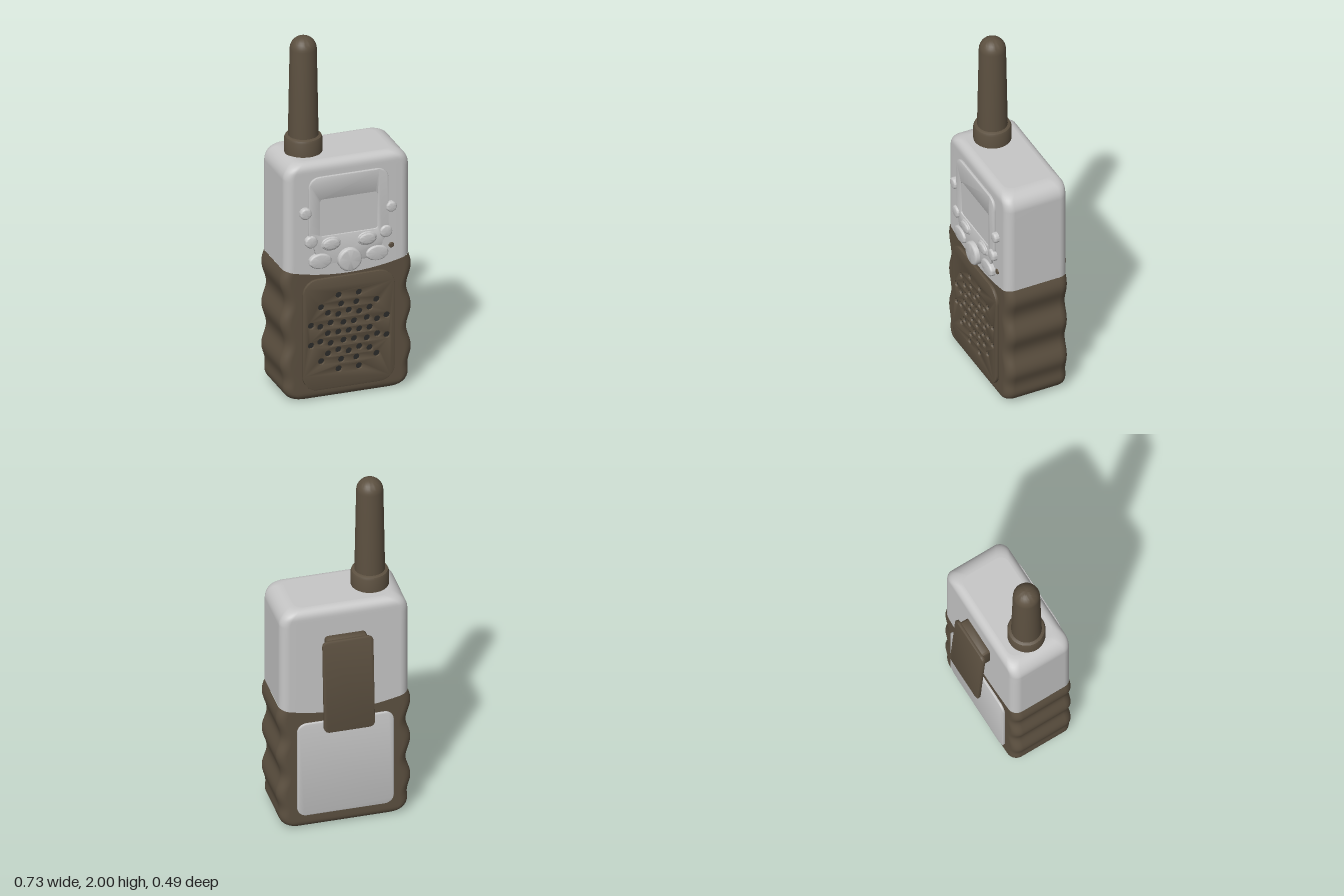
import * as THREE from 'three';
import { toCreasedNormals } from 'three/addons/utils/BufferGeometryUtils.js';

const FRONT = 0.205, BACK = -0.155, MID = 0.025, HALF_D = 0.18, SEAM = 0.75, TOP = 1.35;

export function createModel() {
  const grey = new THREE.MeshStandardMaterial({ color: 0xc6c6c6 });
  grey.name = 'lightGrey';
  const brown = new THREE.MeshStandardMaterial({ color: 0x5c5040 });
  brown.name = 'darkBrown';
  const dark = new THREE.MeshStandardMaterial({ color: 0x2b2b29 });
  dark.name = 'holeDark';

  const group = new THREE.Group();
  const add = (name, geo, mat, x = 0, y = 0, z = 0) => {
    const m = new THREE.Mesh(geo, mat);
    m.name = name;
    m.position.set(x, y, z);
    group.add(m);
    return m;
  };

  // Casing halves: rounded sections stacked upward, meeting at a dipped seam
  const inset = (h, r) => (h >= r ? 0 : r - Math.sqrt(r * r - (r - h) ** 2));
  const lower = [], upper = [];
  const R = 0.09, RZ = 0.045, N = 10;
  const arc = i => R * (1 - Math.cos((i / N) * Math.PI / 2));
  const wave = y => 0.35 + 0.013 * Math.cos((y - 0.685) / 0.235 * Math.PI * 2)
    * THREE.MathUtils.smoothstep(y, 0.02, 0.2);
  const lowerRow = y => ({ y, w: wave(y) - inset(y, R), d: HALF_D - inset(y, RZ), dip: y / SEAM });
  for (let i = 0; i < N; i++) lower.push(lowerRow(arc(i)));
  for (let i = 0; i <= 44; i++) lower.push(lowerRow(R + (SEAM - R) * i / 44));
  const upperRow = y => ({
    y, w: 0.347 - inset(TOP - y, R), d: HALF_D - inset(TOP - y, RZ), dip: (TOP - y) / (TOP - SEAM),
  });
  for (let i = 0; i <= 6; i++) upper.push(upperRow(SEAM + (TOP - R - SEAM) * i / 6));
  for (let i = N - 1; i >= 0; i--) upper.push(upperRow(TOP - arc(i)));
  add('lowerCasing', loft(lower, true), brown);
  add('upperCasing', loft(upper, false), grey);

  // Antenna with collar
  const profile = [[0.1, 1.34], [0.1, 1.425], [0.095, 1.437], [0.084, 1.442], [0.08, 1.443], [0.071, 1.93]];
  for (let i = 1; i <= 8; i++) {
    const a = (i / 8) * Math.PI / 2;
    profile.push([0.071 * Math.cos(a), 1.93 + 0.07 * Math.sin(a)]);
  }
  const antenna = new THREE.LatheGeometry(profile.map(p => new THREE.Vector2(Math.max(p[0], 0), p[1])), 40);
  add('antenna', toCreasedNormals(antenna, 0.6), brown, -0.182, 0, MID);

  // Display panel with a window opening and recessed screen
  const panel = new THREE.Shape();
  panel.moveTo(-0.1, 0.77);
  panel.lineTo(0.1, 0.77);
  panel.quadraticCurveTo(0.18, 0.79, 0.19, 0.86);
  panel.quadraticCurveTo(0.222, 0.9, 0.222, 0.96);
  panel.lineTo(0.222, 1.2);
  panel.quadraticCurveTo(0.222, 1.27, 0.152, 1.27);
  panel.lineTo(-0.152, 1.27);
  panel.quadraticCurveTo(-0.222, 1.27, -0.222, 1.2);
  panel.lineTo(-0.222, 0.96);
  panel.quadraticCurveTo(-0.222, 0.9, -0.19, 0.86);
  panel.quadraticCurveTo(-0.18, 0.79, -0.1, 0.77);
  panel.holes.push(roundedRect(new THREE.Path(), 0.32, 0.21, 0.015, 0, 1.037));
  add('displayPanel', slab(panel, 0.017, 0.004), grey, 0, 0, FRONT - 0.003);
  add('screen', new THREE.BoxGeometry(0.33, 0.22, 0.008), grey, 0, 1.037, FRONT + 0.003);

  // Buttons: x, y, half width, half height, front z
  const buttons = [
    [-0.24, 1.075, 0.032, 0.032, 0.232], [0.235, 1.045, 0.029, 0.029, 0.232],
    [-0.21, 0.91, 0.034, 0.034, 0.232], [0.205, 0.91, 0.034, 0.034, 0.232],
    [-0.1, 0.885, 0.047, 0.031, 0.234], [0.1, 0.885, 0.047, 0.031, 0.234],
    [-0.16, 0.795, 0.062, 0.042, 0.232], [0.155, 0.795, 0.062, 0.042, 0.232],
    [0, 0.785, 0.065, 0.065, 0.245],
  ];
  for (const [x, y, rx, ry, z] of buttons) add('button', puck(rx, ry, z - FRONT + 0.005), grey, x, y, FRONT - 0.005);
  for (const s of [-1, 1]) add('buttonBezel', puck(0.056, 0.04, 0.02), grey, s * 0.1, 0.885, FRONT);
  add('indicator', puck(0.015, 0.015, 0.012), brown, 0.24, 0.82, FRONT - 0.004);

  // Speaker grille: rings of holes over a dark backing
  const grille = roundedRect(new THREE.Shape(), 0.51, 0.63, 0.085, 0, 0.375);
  const rings = [[1, 0, 0], [6, 0.058, 0], [12, 0.116, 0], [12, 0.163, 15], [12, 0.217, 15]];
  for (const [n, r, offset] of rings) {
    for (let i = 0; i < n; i++) {
      const a = (i / n) * Math.PI * 2 + THREE.MathUtils.degToRad(offset);
      const hole = new THREE.Path();
      hole.absarc(r * Math.cos(a), 0.375 + r * Math.sin(a), 0.018, 0, Math.PI * 2);
      grille.holes.push(hole);
    }
  }
  add('speakerGrille', slab(grille, 0.018, 0.003, 5), brown, 0, 0, FRONT - 0.002);
  add('speakerBacking', new THREE.BoxGeometry(0.48, 0.48, 0.006), dark, 0, 0.375, FRONT + 0.001);

  // Battery cover on the back
  const cover = roundedRect(new THREE.Shape(), 0.52, 0.57, 0.05, 0, 0.37);
  add('batteryCover', slab(cover, 0.018, 0.005), grey, 0, 0, BACK - 0.013);

  // Belt clip and its mount
  const mount = roundedRect(new THREE.Shape(), 0.224, 0.15, 0.02, 0, 1.105);
  add('clipMount', slab(mount, 0.05, 0.006), brown, 0, 0, BACK - 0.045);
  const clip = slab(roundedRect(new THREE.Shape(), 0.274, 0.545, 0.03, 0, 0), 0.02, 0.005);
  clip.translate(0, 0, -0.01);
  add('beltClip', clip, brown, 0, 0.905, -0.221).rotation.x = 0.06;

  return group;
}

function roundedRect(path, w, h, r, cx, cy) {
  const x = w / 2 - r, y = h / 2 - r, q = Math.PI / 2;
  path.absarc(cx + x, cy + y, r, 0, q);
  path.absarc(cx - x, cy + y, r, q, 2 * q);
  path.absarc(cx - x, cy - y, r, 2 * q, 3 * q);
  path.absarc(cx + x, cy - y, r, 3 * q, 4 * q);
  path.closePath();
  return path;
}

// Bevelled plate occupying z = 0..depth
function slab(shape, depth, bevel, curveSegments = 8) {
  const geo = new THREE.ExtrudeGeometry(shape, {
    depth: depth - 2 * bevel, bevelThickness: bevel, bevelSize: bevel, bevelOffset: -bevel, bevelSegments: 2, curveSegments,
  });
  geo.translate(0, 0, bevel);
  return toCreasedNormals(geo, 0.6);
}

// Oval button with a rounded rim, facing +z
function puck(rx, ry, height) {
  const b = Math.min(0.012, height * 0.6), pts = [new THREE.Vector2(1, 0)];
  for (let i = 0; i <= 5; i++) {
    const a = (i / 5) * Math.PI / 2;
    pts.push(new THREE.Vector2(1 - (b / rx) * (1 - Math.cos(a)), height - b + b * Math.sin(a)));
  }
  pts.push(new THREE.Vector2(0, height));
  const geo = new THREE.LatheGeometry(pts, 32);
  geo.scale(rx, 1, ry);
  geo.rotateX(Math.PI / 2);
  return toCreasedNormals(geo, 0.6);
}

// Rounded-rectangle outline, anticlockwise from above, with points along front and back
function section(w, d) {
  const r = 0.05, pts = [], signs = [[1, 1], [-1, 1], [-1, -1], [1, -1]];
  signs.forEach(([sx, sz], k) => {
    for (let i = 0; i <= 8; i++) {
      const a = (k + i / 8) * Math.PI / 2;
      pts.push([sx * (w - r) + r * Math.cos(a), -(sz * (d - r) + r * Math.sin(a))]);
    }
    if (k % 2 === 0) for (let i = 1; i < 16; i++) pts.push([sx * (w - r) * (1 - i / 8), -sz * d]);
  });
  return pts;
}

// Skin over the sections, closed at the bottom or the top
function loft(rows, capBottom) {
  const pos = [], index = [];
  let n = 0;
  const addRow = ({ y, w, d, dip }) => {
    const ring = section(w, d);
    n = ring.length;
    for (const [x, z] of ring) pos.push(x, y - 0.05 * dip * Math.max(0, 1 - (x / 0.345) ** 2), z + MID);
  };
  rows.forEach(addRow);
  for (let i = 0; i < rows.length - 1; i++) {
    for (let j = 0; j < n; j++) {
      const a = i * n + j, b = i * n + (j + 1) % n;
      index.push(a, b, b + n, a, b + n, a + n);
    }
  }
  const end = capBottom ? rows[0] : rows[rows.length - 1], base = rows.length * n;
  addRow(end);
  pos.push(0, end.y, MID);
  for (let j = 0; j < n; j++) {
    const a = base + j, b = base + (j + 1) % n;
    index.push(...(capBottom ? [b, a] : [a, b]), base + n);
  }
  const geo = new THREE.BufferGeometry();
  geo.setAttribute('position', new THREE.Float32BufferAttribute(pos, 3));
  geo.setIndex(index);
  geo.computeVertexNormals();
  return geo;
}
